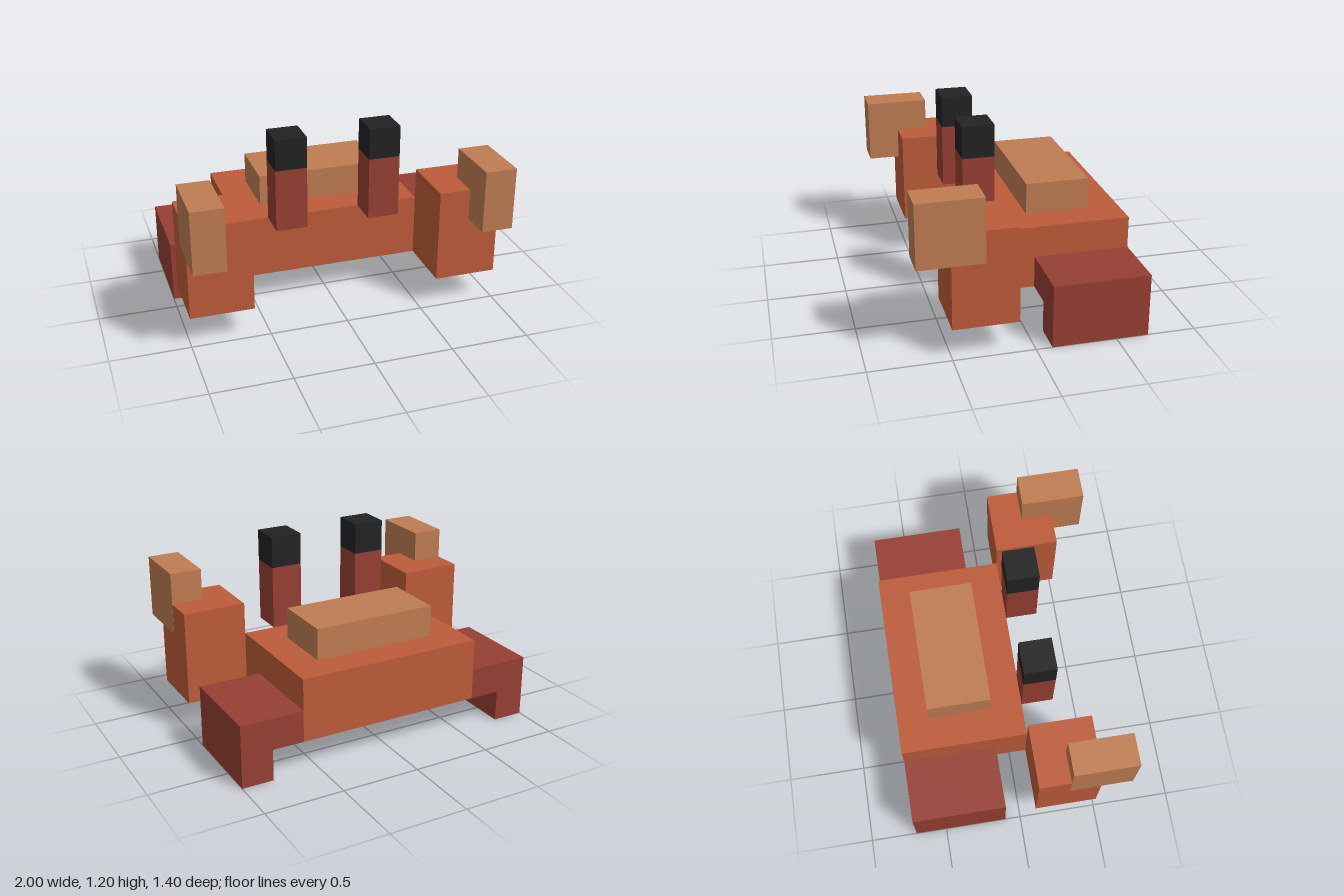
import * as THREE from 'three';

function material(name, color) {
  const m = new THREE.MeshStandardMaterial({ color });
  m.name = name;
  return m;
}

export function createModel() {
  const orange = material('shell orange', 0xbd5b39);
  const red = material('dark red', 0x963f33);
  const tan = material('tan', 0xbf7c52);
  const black = material('eye black', 0x222222);

  // Box given by its low and high corners
  function block(name, mat, [x0, y0, z0], [x1, y1, z1]) {
    const mesh = new THREE.Mesh(new THREE.BoxGeometry(x1 - x0, y1 - y0, z1 - z0), mat);
    mesh.position.set((x0 + x1) / 2, (y0 + y1) / 2, (z0 + z1) / 2);
    mesh.name = name;
    return mesh;
  }

  const model = new THREE.Group();
  model.name = 'crab';

  // Body and raised shell
  model.add(
    block('body', orange, [-0.6, 0.2, -0.7], [0.6, 0.6, 0.1]),
    block('shellTop', tan, [-0.4, 0.6, -0.5], [0.4, 0.8, -0.1])
  );

  // Paired parts, mirrored across x
  for (const [side, s] of [['left', 1], ['right', -1]]) {
    const pair = (name, mat, lo, hi) => {
      const mesh = block(side + name, mat, lo, hi);
      mesh.position.x *= s;
      model.add(mesh);
    };
    // Leg with its foot
    pair('Leg', red, [0.6, 0.2, -0.7], [1, 0.4, -0.1]);
    pair('Foot', red, [0.8, 0, -0.7], [1, 0.2, -0.1]);
    // Claw; the tip stands a hair proud where it overlaps the base
    pair('ClawBase', orange, [0.6, 0.2, 0.1], [1, 0.8, 0.5]);
    pair('ClawTip', tan, [0.8, 0.6, 0.3], [1.001, 1, 0.7]);
    // Eye on its stalk
    pair('EyeStalk', red, [0.2, 0.6, 0.1], [0.4, 1, 0.3]);
    pair('Eye', black, [0.2, 1, 0.1], [0.4, 1.2, 0.3]);
  }

  return model;
}
